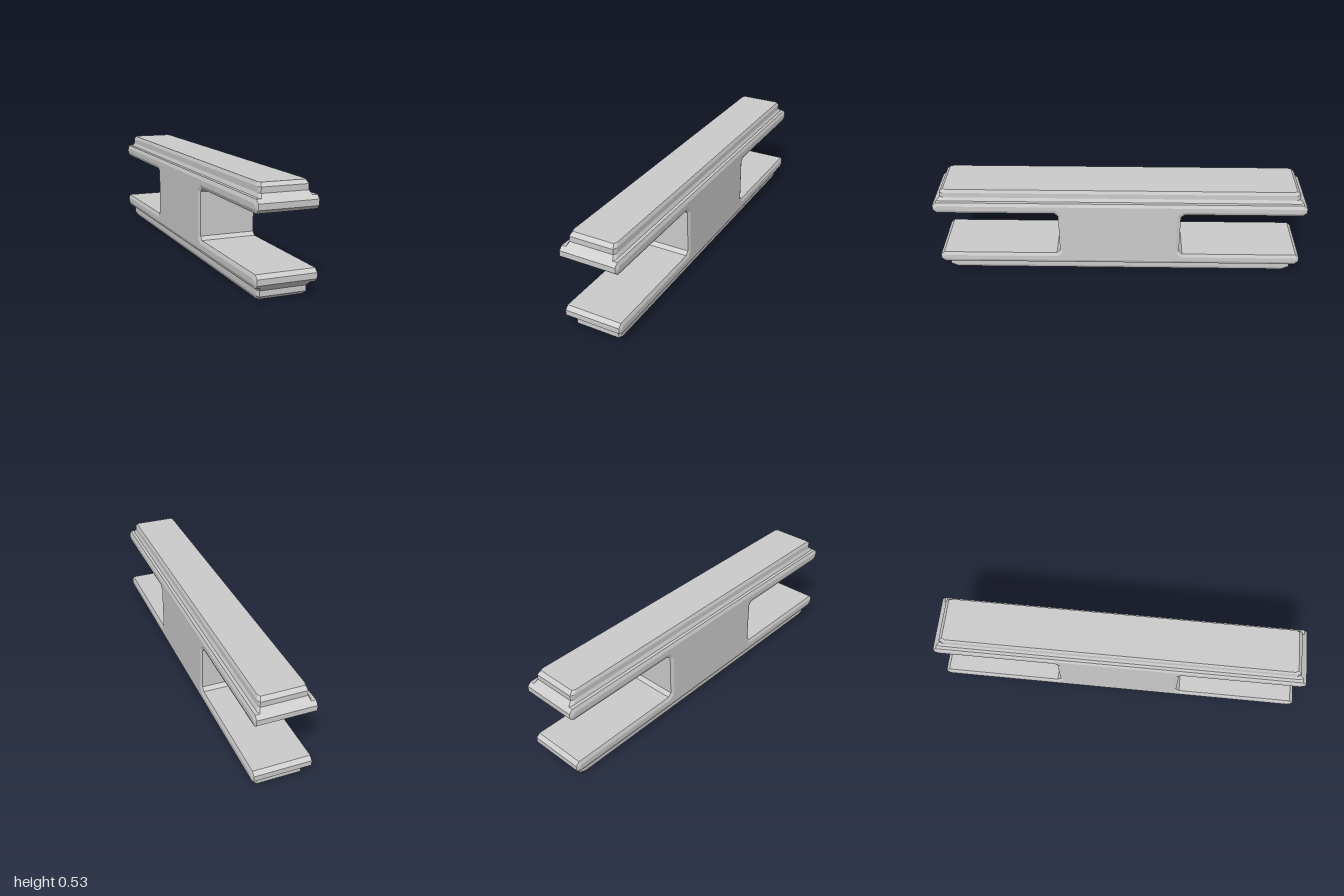
import * as THREE from 'three';

const MID = 0.266; // height of the horizontal symmetry plane
const material = new THREE.MeshStandardMaterial({ color: 0xcccccc, flatShading: true });

// H-shaped body: side outline extruded across x, with every edge chamfered
function bodyGeometry() {
  const upper = [[0.33, 0.117], [0.349, 0.136], [0.98, 0.136], [1, 0.154], [1, 0.183], [0.98, 0.201]];
  const lower = upper.map(([u, v]) => [u, -v]).reverse();
  const half = [...lower, ...upper];
  const outline = [...half, ...half.map(([u, v]) => [-u, -v])];
  const shape = new THREE.Shape(outline.map(([u, v]) => new THREE.Vector2(u, v)));
  const depth = 0.3;
  const geometry = new THREE.ExtrudeGeometry(shape, {
    depth,
    bevelEnabled: true,
    bevelSegments: 1,
    bevelThickness: 0.0075,
    bevelSize: 0.019,
    bevelOffset: -0.019,
  });
  geometry.translate(0, 0, -depth / 2);
  geometry.rotateY(Math.PI / 2);
  return geometry;
}

// Rectangle with cut corners, counter-clockwise seen from above
function ring(hx, hz, y) {
  const cx = 0.0075, cz = 0.019;
  const half = [[hx - cx, hz], [hx, hz - cz], [hx, cz - hz], [hx - cx, -hz]];
  return [...half, ...half.map(([x, z]) => [-x, -z])].map(([x, z]) => [x, y, z]);
}

// Cap: loft through rings, flared at the foot and chamfered at the top
function capGeometry() {
  const rings = [
    ring(0.133, 0.98, 0.201),
    ring(0.125, 0.96, 0.22),
    ring(0.125, 0.96, 0.248),
    ring(0.118, 0.941, 0.266),
  ];
  const positions = [];
  const tri = (a, b, c) => positions.push(...a, ...b, ...c);
  for (let i = 0; i < rings.length - 1; i++) {
    const low = rings[i], high = rings[i + 1];
    for (let j = 0; j < low.length; j++) {
      const k = (j + 1) % low.length;
      tri(low[j], low[k], high[k]);
      tri(low[j], high[k], high[j]);
    }
  }
  const top = rings[rings.length - 1];
  for (let j = 1; j < top.length - 1; j++) tri(top[0], top[j], top[j + 1]);
  const geometry = new THREE.BufferGeometry();
  geometry.setAttribute('position', new THREE.Float32BufferAttribute(positions, 3));
  geometry.computeVertexNormals();
  return geometry;
}

export function createModel() {
  const group = new THREE.Group();
  group.name = 'beam';
  const add = (name, geometry) => {
    const mesh = new THREE.Mesh(geometry, material);
    mesh.name = name;
    mesh.position.y = MID;
    group.add(mesh);
    return mesh;
  };

  add('body', bodyGeometry());
  // Matching caps above and below
  const cap = capGeometry();
  add('topCap', cap);
  add('bottomCap', cap).rotation.z = Math.PI;
  return group;
}
